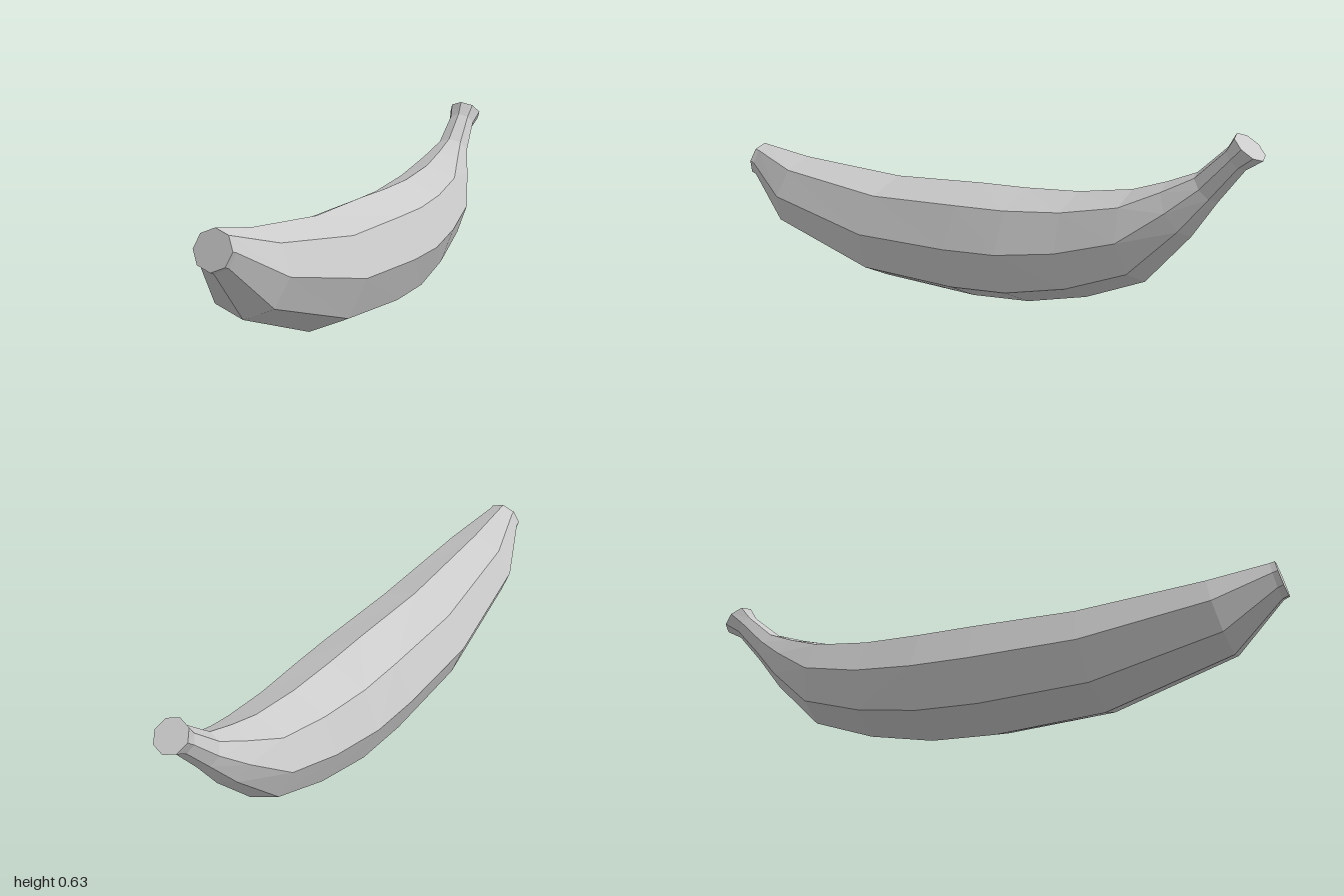
import * as THREE from 'three';

const SIDES = 8;

// Cross-sections from blossom end to stem: [top z, top y, bottom z, bottom y, half width]
const RINGS = [
  [0.97, 0.43, 1.0, 0.31, 0.062],
  [0.955, 0.427, 0.98, 0.303, 0.063],
  [0.76, 0.4, 0.82, 0.144, 0.135],
  [0.346, 0.374, 0.4, 0.02, 0.183],
  [0.0, 0.387, 0.03, 0.003, 0.192],
  [-0.18, 0.39, -0.19, 0.016, 0.19],
  [-0.378, 0.4, -0.41, 0.064, 0.17],
  [-0.571, 0.428, -0.62, 0.144, 0.145],
  [-0.69, 0.465, -0.775, 0.305, 0.095],
  [-0.79, 0.503, -0.86, 0.42, 0.058],
  [-0.888, 0.588, -0.946, 0.524, 0.047],
  [-0.914, 0.631, -1.0, 0.556, 0.058],
];

// Octagonal ring with one corner on the ridge and one on the keel
function ringPoints([tz, ty, bz, by, w]) {
  return Array.from({ length: SIDES }, (_, j) => {
    const a = (j / SIDES) * Math.PI * 2;
    const k = (1 - Math.cos(a)) / 2;
    return [w * Math.sin(a), ty + (by - ty) * k, tz + (bz - tz) * k];
  });
}

function meshFrom(name, triangles, material) {
  const geometry = new THREE.BufferGeometry();
  geometry.setAttribute('position', new THREE.Float32BufferAttribute(triangles.flat(2), 3));
  geometry.computeVertexNormals();
  const mesh = new THREE.Mesh(geometry, material);
  mesh.name = name;
  return mesh;
}

// Side walls joining consecutive rings
function loft(rings) {
  const tris = [];
  for (let i = 0; i < rings.length - 1; i++) {
    for (let j = 0; j < SIDES; j++) {
      const n = (j + 1) % SIDES;
      const a = rings[i][j], b = rings[i][n], c = rings[i + 1][n], d = rings[i + 1][j];
      // mirror the diagonals about x = 0
      if (j < SIDES / 2) tris.push([a, b, c], [a, c, d]);
      else tris.push([a, b, d], [b, c, d]);
    }
  }
  return tris;
}

// Flat end disc
function cap(ring, facesFront) {
  const tris = [];
  for (let j = 1; j < SIDES - 1; j++) {
    tris.push(facesFront ? [ring[0], ring[j + 1], ring[j]] : [ring[0], ring[j], ring[j + 1]]);
  }
  return tris;
}

export function createModel() {
  const group = new THREE.Group();
  group.name = 'banana';
  const material = new THREE.MeshStandardMaterial({ color: 0xcccccc, flatShading: true });
  const rings = RINGS.map(ringPoints);
  const stemStart = 9;

  group.add(
    meshFrom('peel', loft(rings.slice(0, stemStart + 1)), material),
    meshFrom('stem', loft(rings.slice(stemStart)), material),
    meshFrom('blossomEnd', cap(rings[0], true), material),
    meshFrom('stemEnd', cap(rings[rings.length - 1], false), material),
  );
  return group;
}
